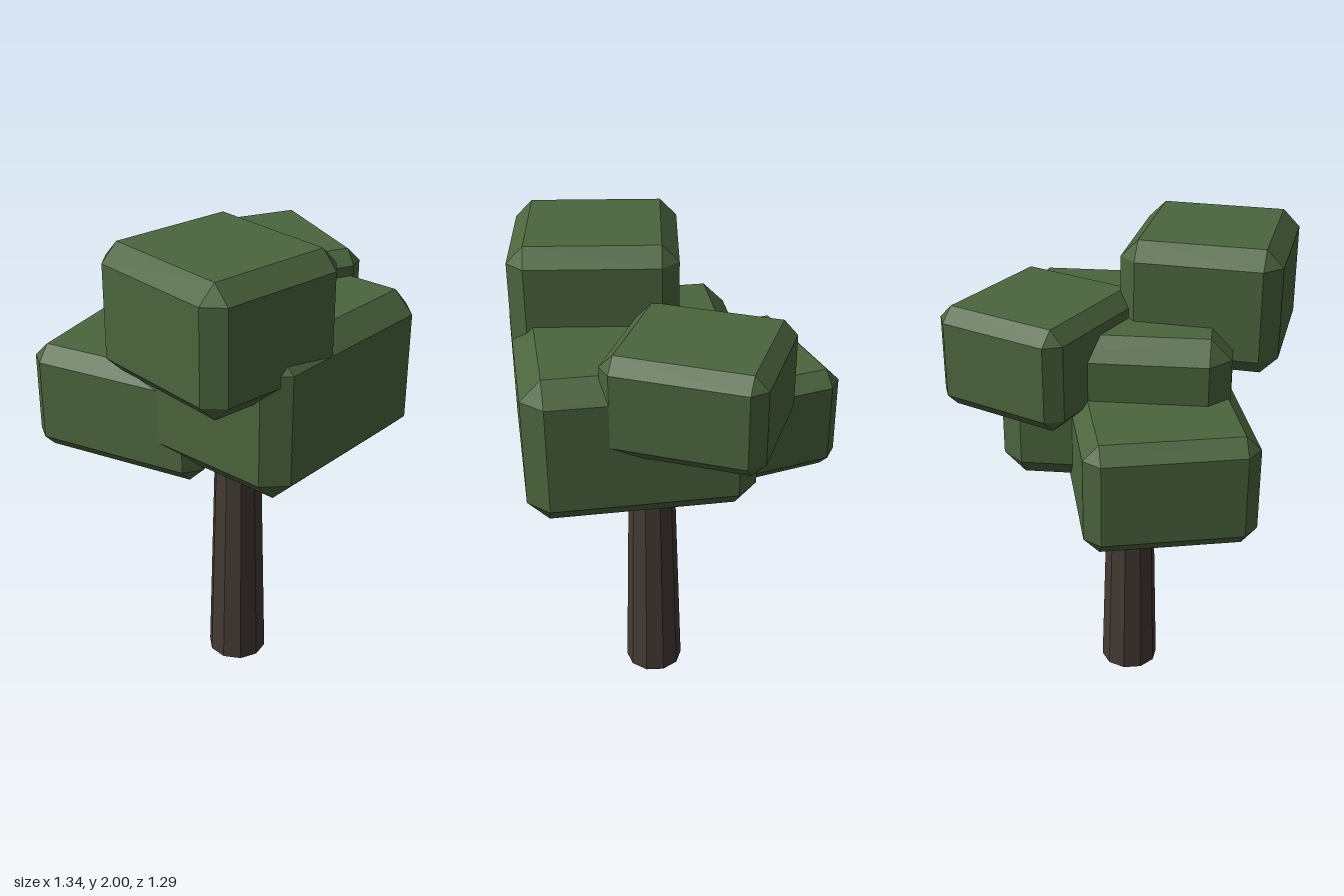
import * as THREE from 'three';
import { ConvexGeometry } from 'three/addons/geometries/ConvexGeometry.js';

const foliage = new THREE.MeshStandardMaterial({ color: 0x4c653e });
foliage.name = 'leaf green';
foliage.flatShading = true;
const bark = new THREE.MeshStandardMaterial({ color: 0x443b35 });
bark.name = 'bark brown';
bark.flatShading = true;

// Box with every edge cut at 45 degrees and triangular corners
function chamferedBox(w, h, d, c) {
  const points = [];
  for (const sx of [-1, 1]) for (const sy of [-1, 1]) for (const sz of [-1, 1]) {
    const x = w / 2, y = h / 2, z = d / 2;
    points.push(
      new THREE.Vector3(sx * x, sy * (y - c), sz * (z - c)),
      new THREE.Vector3(sx * (x - c), sy * y, sz * (z - c)),
      new THREE.Vector3(sx * (x - c), sy * (y - c), sz * z)
    );
  }
  return new ConvexGeometry(points);
}

// Tapered ten-sided limb between two points
function limb(name, from, to, r0, r1) {
  const a = new THREE.Vector3(...from), b = new THREE.Vector3(...to);
  const dir = b.clone().sub(a);
  const geometry = new THREE.CylinderGeometry(r1, r0, dir.length(), 10);
  geometry.rotateY(Math.PI / 2);
  const mesh = new THREE.Mesh(geometry, bark);
  mesh.name = name;
  mesh.position.copy(a).add(b).multiplyScalar(0.5);
  mesh.quaternion.setFromUnitVectors(new THREE.Vector3(0, 1, 0), dir.normalize());
  return mesh;
}

export function createModel() {
  const tree = new THREE.Group();
  tree.name = 'tree';

  // Trunk and the short branch that runs into the crown
  tree.add(limb('trunk', [0.1, 0, 0.033], [0.1, 1.2, 0.033], 0.124, 0.091));
  tree.add(limb('branch', [0.13, 0.94, 0], [0.3, 1.25, -0.03], 0.04, 0.035));

  // Leaf blocks: name, size, centre, turn about y, chamfer
  const blocks = [
    ['crownMiddle', [0.89, 0.605, 0.894], [0.185, 1.3925, -0.012], 0.104, 0.083],
    ['crownLower', [0.76, 0.45, 0.66], [-0.224, 1.23, 0.208], 0.34, 0.06],
    ['crownBack', [0.63, 0.41, 0.568], [-0.075, 1.585, -0.293], -0.352, 0.055],
    ['crownTop', [0.663, 0.5, 0.63], [0.305, 1.75, 0.322], -0.028, 0.068],
  ];
  for (const [name, size, centre, turn, chamfer] of blocks) {
    const block = new THREE.Mesh(chamferedBox(...size, chamfer), foliage);
    block.name = name;
    block.position.set(...centre);
    block.rotation.y = turn;
    tree.add(block);
  }
  return tree;
}
